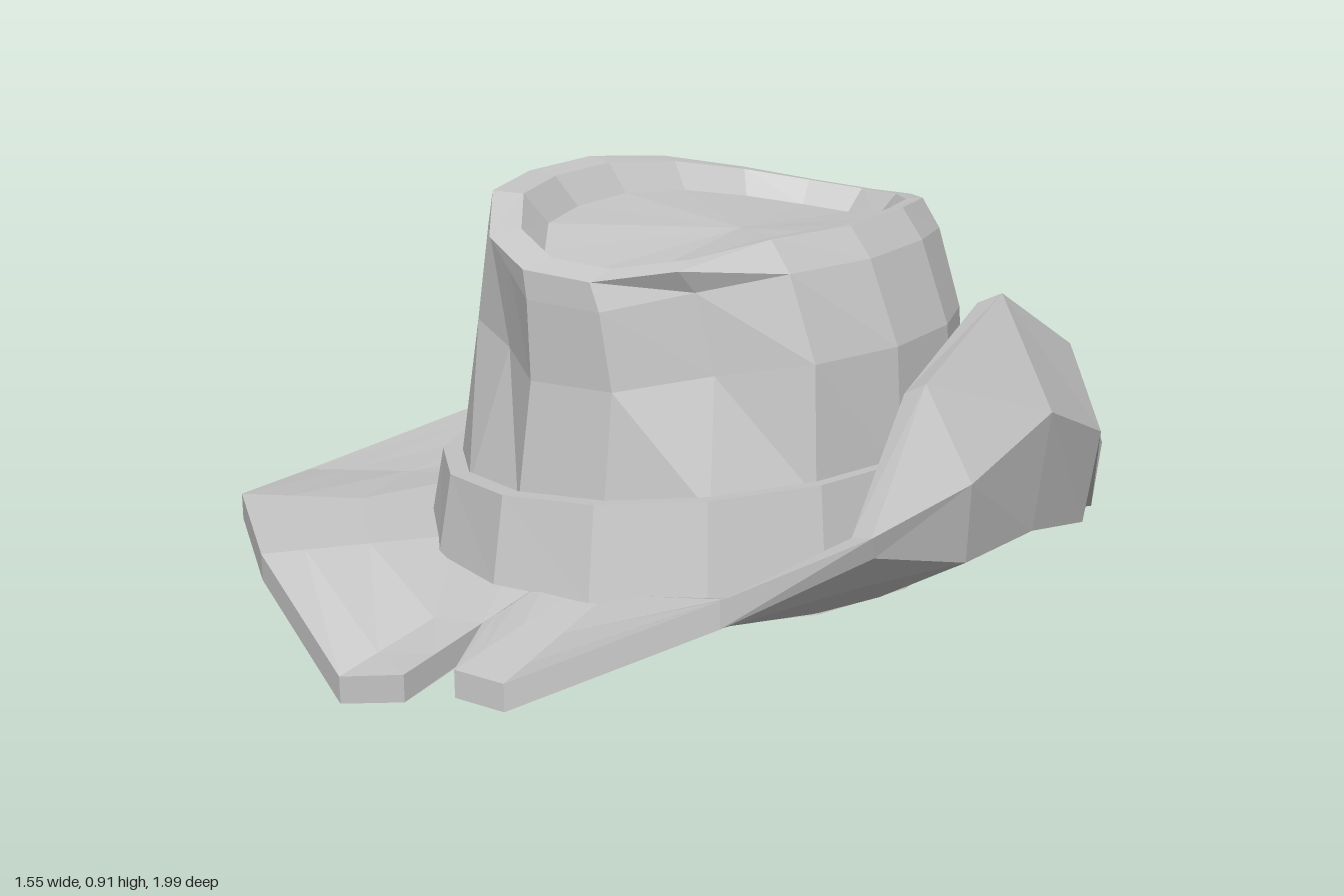
import * as THREE from 'three';

const N = 16;
const V = (x, y, z) => new THREE.Vector3(x, y, z);
const material = new THREE.MeshStandardMaterial({ color: 0xcccccc, flatShading: true });
const liningMaterial = new THREE.MeshStandardMaterial({ color: 0xcccccc, flatShading: true, side: THREE.DoubleSide });

// Skin a list of closed rings (each an equal-length array of points)
function loft(rings, closed = false) {
  const n = rings[0].length, pos = [], idx = [];
  rings.forEach(r => r.forEach(p => pos.push(p.x, p.y, p.z)));
  const spans = closed ? rings.length : rings.length - 1;
  for (let i = 0; i < spans; i++) {
    const k = (i + 1) % rings.length;
    for (let j = 0; j < n; j++) {
      const m = (j + 1) % n;
      const a = i * n + j, b = i * n + m, c = k * n + m, d = k * n + j;
      idx.push(a, d, c, a, c, b);
    }
  }
  const g = new THREE.BufferGeometry();
  g.setAttribute('position', new THREE.Float32BufferAttribute(pos, 3));
  g.setIndex(idx);
  g.computeVertexNormals();
  return g;
}

// Point on a slightly skewed oval, with its height given by a rule
function ovalPoint(t, cx, rx, rz, height, scale = 1) {
  const z = 0.015 + rz * Math.sin(t) * scale;
  const x = cx + rx * Math.cos(t) * scale + 0.04 * z;
  return V(x, height(x, z), z);
}

// Oval ring; dent pulls in the two pinched columns at the front
function ring(cx, rx, rz, height, dent = 0) {
  return Array.from({ length: N }, (_, j) =>
    ovalPoint((j + 0.5) / N * Math.PI * 2, cx, rx, rz, height, j === 2 || j === 5 ? 1 - dent : 1));
}

// Sloping heights of the main rings
const openingY = (x, z) => 0.185 + 0.03 * (x - 0.1) + 0.1 * z;
const bandBaseY = (x, z) => 0.24 + 0.06 * (x - 0.1) + 0.1 * z;
const bandTopY = (x, z) => 0.4 + 0.12 * (x - 0.1) + 0.1 * z;
const rimY = (x, z) => z > 0.33 ? 0.915 - 0.19 * (z - 0.33)
  : z > 0 ? 0.88 + 0.1 * z : 0.88 + 0.1 * z - 0.25 * z * z;
const between = k => (x, z) => THREE.MathUtils.lerp(bandTopY(x, z), rimY(x, z), k);
const lowered = (f, d) => (x, z) => f(x, z) - d;

// Brim columns, right to front to left to back: edge [x, y, z],
// and where the brim curls up also its middle and its lower fold
const brimColumns = [
  [[0.67, 0.67, 0.25], [0.775, 0.51, 0.27], [0.76, 0.35, 0.25]],
  [[0.71, 0.485, 0.52], [0.705, 0.44, 0.5], [0.66, 0.36, 0.46]],
  [[0.55, 0.37, 0.75]],
  [[0.28, 0.25, 0.99]],
  [[0.18, 0.25, 0.99]],
  [[0.085, 0.23, 0.77]],     // front notch
  [[0.07, 0.21, 0.985]],
  [[-0.07, 0.17, 0.985]],
  [[-0.4, 0.25, 0.79]],
  [[-0.65, 0.23, 0.55]],
  [[-0.78, 0.13, 0.19]],
  [[-0.74, 0.11, -0.31]],
  [[-0.61, 0.07, -0.57]],
  [[-0.4, 0.12, -0.49]],     // back notch
  [[-0.57, 0.06, -0.66]],
  [[-0.31, 0, -0.9]],
  [[0.04, 0.005, -1]],
  [[0.38, 0.05, -0.92]],
  [[0.53, 0.12, -0.82], [0.51, 0.08, -0.76], [0.44, 0.1, -0.64]],
  [[0.64, 0.25, -0.66], [0.64, 0.12, -0.62], [0.53, 0.12, -0.54]],
  [[0.665, 0.55, -0.4], [0.74, 0.38, -0.4], [0.72, 0.19, -0.38]],
  [[0.65, 0.735, -0.1], [0.77, 0.53, -0.08], [0.755, 0.3, -0.05]],
];

function brimGeometry() {
  const under = [[], [], [], []];
  for (const [edge, middle, fold] of brimColumns) {
    const e = V(...edge);
    const t = Math.atan2((e.z - 0.015) / 0.61, (e.x - 0.105) / 0.48);
    const inner = ovalPoint(t, 0.105, 0.48, 0.61, openingY);
    under[0].push(inner);
    under[1].push(fold ? V(...fold) : inner.clone().lerp(e, 0.45));
    under[2].push(middle ? V(...middle) : inner.clone().lerp(e, 0.78));
    under[3].push(e);
  }
  // Thicken the sheet: straight up where flat, along its normals where curled
  const normals = loft(under).getAttribute('normal');
  const n = brimColumns.length;
  const upper = under.map((r, i) => r.map((p, j) => {
    const curled = i > 0 && brimColumns[j].length > 1;
    const up = curled ? V(0, 0, 0).fromBufferAttribute(normals, i * n + j).negate() : V(0, 1, 0);
    return up.multiplyScalar(0.052).add(p);
  }));
  return loft([...under, ...upper.reverse()], true);
}

export function createModel() {
  const group = new THREE.Group();
  const add = (name, geometry, mat = material) => {
    const mesh = new THREE.Mesh(geometry, mat);
    mesh.name = name;
    group.add(mesh);
  };

  add('brim', brimGeometry());

  // Band with a narrow stepped ledge on top
  add('band', loft([
    ring(0.1, 0.522, 0.655, lowered(bandBaseY, 0.01)),
    ring(0.1, 0.497, 0.625, bandTopY),
    ring(0.105, 0.465, 0.59, bandTopY),
  ]));

  // Crown wall with front pinches, raised rim and sunken top
  const floorY = lowered(rimY, 0.06);
  const centre = Array.from({ length: N }, () => V(0.12, 0.79, -0.05));
  add('crown', loft([
    ring(0.105, 0.468, 0.59, lowered(bandTopY, 0.03)),
    ring(0.12, 0.435, 0.572, between(0.5), 0.1),
    ring(0.11, 0.385, 0.58, between(0.87), 0.08),
    ring(0.097, 0.355, 0.58, rimY),
    ring(0.11, 0.316, 0.515, lowered(rimY, 0.005)),
    ring(0.11, 0.27, 0.47, floorY),
    centre,
  ]));

  // Hollow inside, seen through the head opening
  add('lining', loft([
    ring(0.105, 0.485, 0.62, openingY),
    ring(0.105, 0.44, 0.56, lowered(bandTopY, 0.08)),
    ring(0.115, 0.38, 0.52, between(0.5), 0.08),
    ring(0.105, 0.28, 0.48, lowered(rimY, 0.1)),
    centre.map(p => p.clone().setY(0.76)),
  ]), liningMaterial);

  return group;
}
